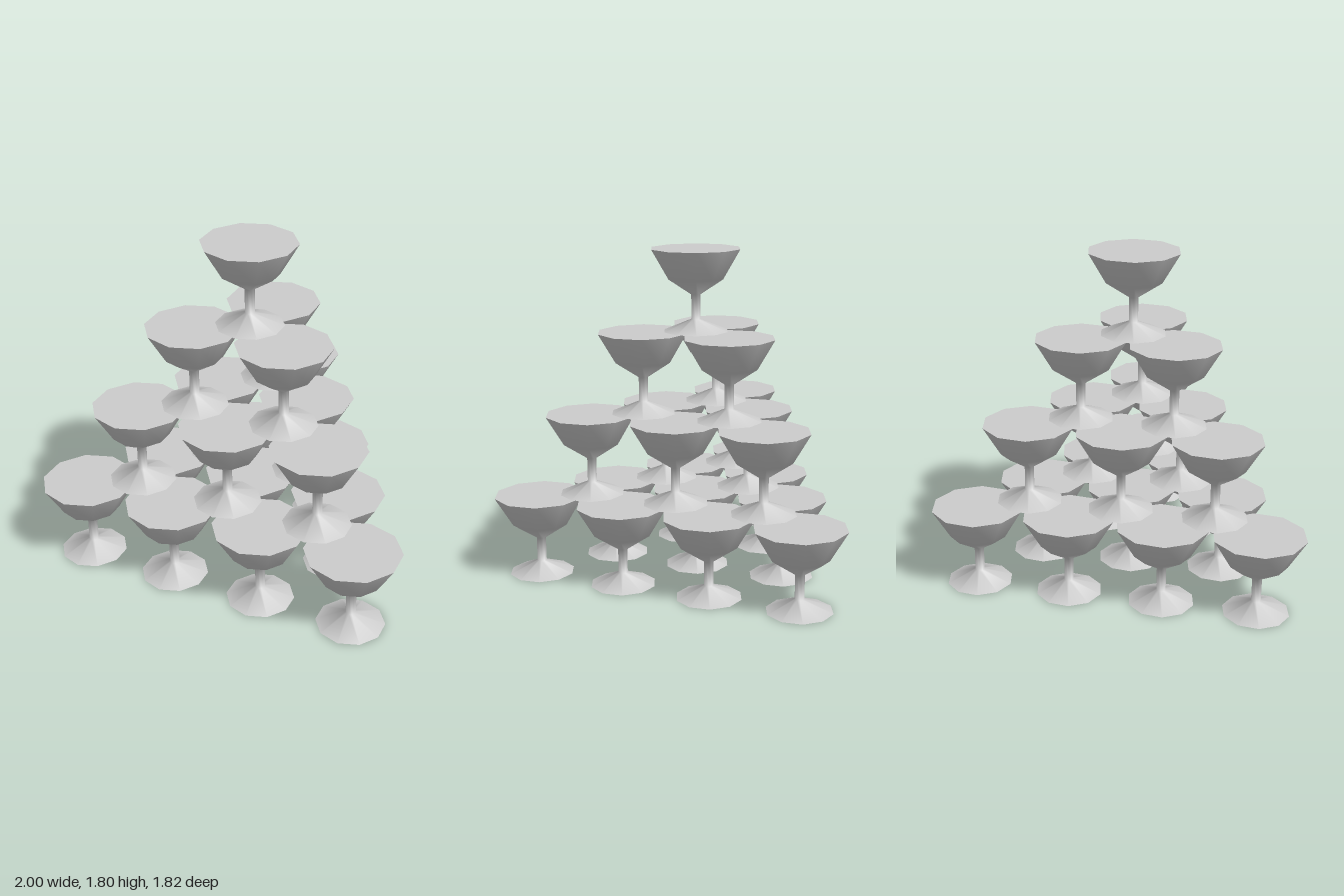
import * as THREE from 'three';

const SIDES = 10;
const SPACING = 0.508;                         // between neighbours in a row
const ROW = SPACING * Math.sqrt(3) / 2;        // between rows
const HEIGHT = 0.45;                           // one glass
const RIM = 0.25, FOOT = 0.18;

export function createModel() {
  const tower = new THREE.Group();
  tower.name = 'glassTower';
  const material = new THREE.MeshStandardMaterial({ color: 0xcccccc });

  // Foot, stem and bowl as one smooth turned profile
  const profile = [
    [FOOT, 0], [0.026, 0.065], [0.026, 0.2], [0.155, 0.287], [RIM, HEIGHT],
  ].map(([r, y]) => new THREE.Vector2(r, y));
  const bodyGeometry = new THREE.LatheGeometry(profile, SIDES);

  // Flat discs closing the bowl and the foot, corners in line with the profile
  const disc = (r) => new THREE.CircleGeometry(r, SIDES, Math.PI / 2);
  const drinkGeometry = disc(RIM).rotateX(-Math.PI / 2).translate(0, HEIGHT, 0);
  const soleGeometry = disc(FOOT).rotateX(Math.PI / 2);

  const makeGlass = (x, y, z) => {
    const glass = new THREE.Group();
    glass.name = 'glass';
    const parts = { glassBody: bodyGeometry, drinkSurface: drinkGeometry, footUnderside: soleGeometry };
    for (const [name, geometry] of Object.entries(parts)) {
      const mesh = new THREE.Mesh(geometry, material);
      mesh.name = name;
      glass.add(mesh);
    }
    glass.position.set(x, y, z);
    return glass;
  };

  // Triangular layers of 10, 6, 3 and 1 glasses sharing one centre, widest row in front
  const centreZ = ROW / 2;
  for (let level = 0; level < 4; level++) {
    const layer = new THREE.Group();
    layer.name = `layer${level + 1}`;
    const size = 4 - level;
    const frontZ = centreZ + (size - 1) * ROW / 3;
    for (let row = 0; row < size; row++) {
      const count = size - row;
      for (let i = 0; i < count; i++) {
        layer.add(makeGlass((i - (count - 1) / 2) * SPACING, level * HEIGHT, frontZ - row * ROW));
      }
    }
    tower.add(layer);
  }
  return tower;
}
